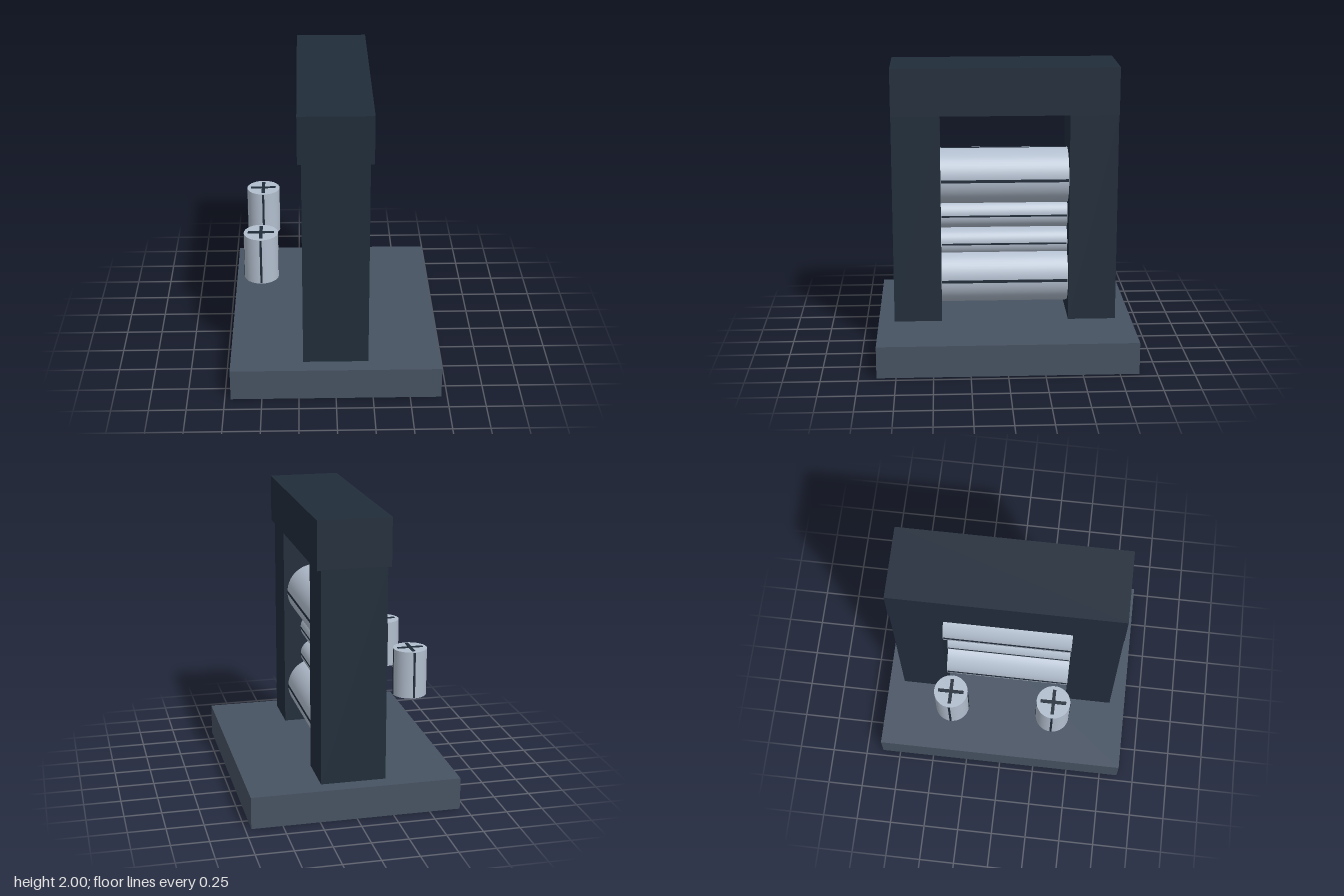
import * as THREE from 'three';

const steel = new THREE.MeshStandardMaterial({ name: 'roller steel', color: 0xb2bece });
const dark = new THREE.MeshStandardMaterial({ name: 'frame dark slate', color: 0x212d3b });
const slate = new THREE.MeshStandardMaterial({ name: 'base slate', color: 0x475363 });

function box(name, w, h, d, x, y, z, material) {
  const mesh = new THREE.Mesh(new THREE.BoxGeometry(w, h, d), material);
  mesh.name = name;
  mesh.position.set(x, y, z);
  return mesh;
}

// Upright roller, centred on its own origin, with four marking stripes along its side
function roller(name, radius, length, stripeWidth) {
  const group = new THREE.Group();
  group.name = name;
  const body = new THREE.Mesh(new THREE.CylinderGeometry(radius, radius, length, 64), steel);
  body.name = 'rollerBody';
  group.add(body);
  for (let i = 0; i < 4; i++) {
    const a = i * Math.PI / 2;
    const stripe = box('rollerStripe', 0.006, length - 0.008, stripeWidth,
      Math.cos(a) * (radius - 0.001), 0, Math.sin(a) * (radius - 0.001), dark);
    stripe.rotation.y = -a;
    group.add(stripe);
  }
  return group;
}

export function createModel() {
  const model = new THREE.Group();
  model.name = 'rollingMillStand';

  // Base and frame
  model.add(box('base', 1.42, 0.22, 1.76, 0, 0.11, 0, slate));
  for (const side of [1, -1]) {
    model.add(box(side > 0 ? 'frontPost' : 'backPost', 0.44, 1.46, 0.33, 0, 0.95, side * 0.605, dark));
  }
  model.add(box('topBeam', 0.49, 0.325, 1.54, 0, 1.8375, 0, dark));

  // Stack of horizontal rollers: name, height, radius, stripe width
  const stack = [
    ['upperBackupRoller', 1.212, 0.195, 0.02],
    ['upperWorkRoller', 0.939, 0.1, 0.012],
    ['lowerWorkRoller', 0.738, 0.1, 0.012],
    ['lowerBackupRoller', 0.495, 0.195, 0.02],
  ];
  for (const [name, y, radius, stripeWidth] of stack) {
    const r = roller(name, radius, 0.88, stripeWidth);
    r.rotation.x = Math.PI / 2;
    r.position.y = y;
    model.add(r);
  }

  // Upright edge rollers with a cross on each end
  for (const side of [1, -1]) {
    const r = roller(side > 0 ? 'frontEdgeRoller' : 'backEdgeRoller', 0.116, 0.33, 0.015);
    for (const end of [1, -1]) {
      r.add(box('crossBarX', 0.177, 0.008, 0.023, 0, end * 0.166, 0, dark));
      r.add(box('crossBarZ', 0.023, 0.0078, 0.177, 0, end * 0.166, 0, dark));
    }
    r.position.set(-0.497, 0.824, side * 0.355);
    model.add(r);
  }
  return model;
}
